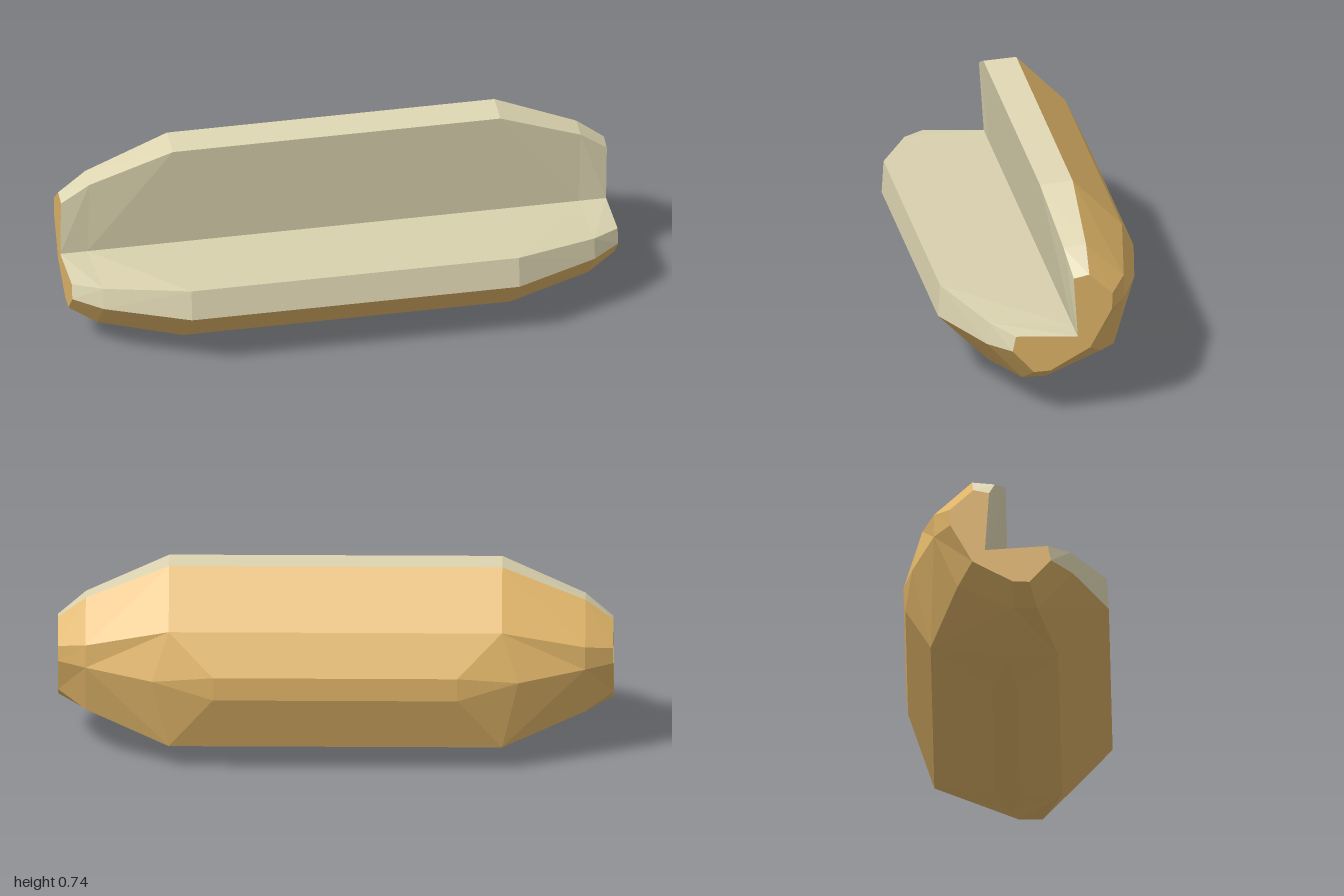
import * as THREE from 'three';

// Lengthwise rows of one bun half: [x, y, z] from the middle station to the end
const hinge = [[0.44, 0.30, -0.07], [0.6, 0.30, -0.07], [0.9, 0.30, -0.07], [1, 0.30, -0.07]];
const upperRows = [
  [[0.44, 0.735, 0], [0.6, 0.735, 0], [0.9, 0.607, -0.035], [1, 0.526, -0.055]],               // inner lip
  [[0.44, 0.742, -0.12], [0.6, 0.742, -0.12], [0.9, 0.615, -0.117], [1, 0.538, -0.112]],       // outer lip
  [[0.44, 0.56, -0.30], [0.6, 0.56, -0.30], [0.9, 0.487, -0.255], [1, 0.46, -0.197]],          // shoulder
  [[0.44, 0.41, -0.37], [0.66, 0.38, -0.335], [0.9, 0.40, -0.255], [1, 0.40, -0.195]],         // upper bulge
  [[0.44, 0.32, -0.363], [0.66, 0.38, -0.335], [0.9, 0.40, -0.255], [1, 0.40, -0.195]],        // lower bulge
];
const spine = [[0.44, 0.10, -0.27], [0.6, 0.10, -0.27], [0.9, 0.20, -0.17], [1, 0.255, -0.115]];

// Mirror a row across the sloping plane through hinge and spine
const reflect = (row) => row.map(([x, y, z]) => [x, z + 0.37, y - 0.37]);

// Extend a half row over the full length
const fullRow = (row) => [
  ...row.slice().reverse().map(([x, y, z]) => new THREE.Vector3(-x, y, z)),
  ...row.map((p) => new THREE.Vector3(...p)),
];

const lowerRows = upperRows.slice().reverse().map(reflect);
const rows = [hinge, ...upperRows, spine, ...lowerRows, hinge].map(fullRow);

function addTriangle(out, a, b, c) {
  const area = b.clone().sub(a).cross(c.clone().sub(a)).length();
  if (area > 1e-6) for (const p of [a, b, c]) out.push(p.x, p.y, p.z);
}

// Faceted strips between neighbouring rows, split along the bulging diagonal
function addStrips(out, from, to) {
  const reach = (p, q) => {
    const m = p.clone().add(q).multiplyScalar(0.5);
    return Math.hypot(m.y - 0.3, m.z + 0.07);
  };
  for (let i = from; i < to; i++) {
    for (let s = 0; s < rows[i].length - 1; s++) {
      const a = rows[i][s], b = rows[i][s + 1], c = rows[i + 1][s + 1], d = rows[i + 1][s];
      if (reach(a, c) > reach(b, d)) {
        addTriangle(out, a, b, c);
        addTriangle(out, a, c, d);
      } else {
        addTriangle(out, a, b, d);
        addTriangle(out, b, c, d);
      }
    }
  }
}

// Flat ends, fanned out from the hinge
function addEnds(out) {
  const last = rows[0].length - 1;
  for (let i = 1; i < rows.length - 2; i++) {
    addTriangle(out, rows[0][last], rows[i + 1][last], rows[i][last]);
    addTriangle(out, rows[0][0], rows[i][0], rows[i + 1][0]);
  }
}

function makeMesh(name, positions, material) {
  const geometry = new THREE.BufferGeometry();
  geometry.setAttribute('position', new THREE.Float32BufferAttribute(positions, 3));
  geometry.computeVertexNormals(); // unshared corners give flat facets
  const mesh = new THREE.Mesh(geometry, material);
  mesh.name = name;
  return mesh;
}

export function createModel() {
  const crustMaterial = new THREE.MeshStandardMaterial({ color: 0xdfb468 });
  crustMaterial.name = 'golden crust';
  const crumbMaterial = new THREE.MeshStandardMaterial({ color: 0xded6b2 });
  crumbMaterial.name = 'cream crumb';

  const end = rows.length - 1;
  const crust = [], upperCut = [], lowerCut = [];
  addStrips(crust, 2, end - 2);
  addEnds(crust);
  addStrips(upperCut, 0, 2);
  addStrips(lowerCut, end - 2, end);

  const bun = new THREE.Group();
  bun.name = 'openBun';
  bun.add(
    makeMesh('crust', crust, crustMaterial),
    makeMesh('upperCutFace', upperCut, crumbMaterial),
    makeMesh('lowerCutFace', lowerCut, crumbMaterial),
  );
  return bun;
}
